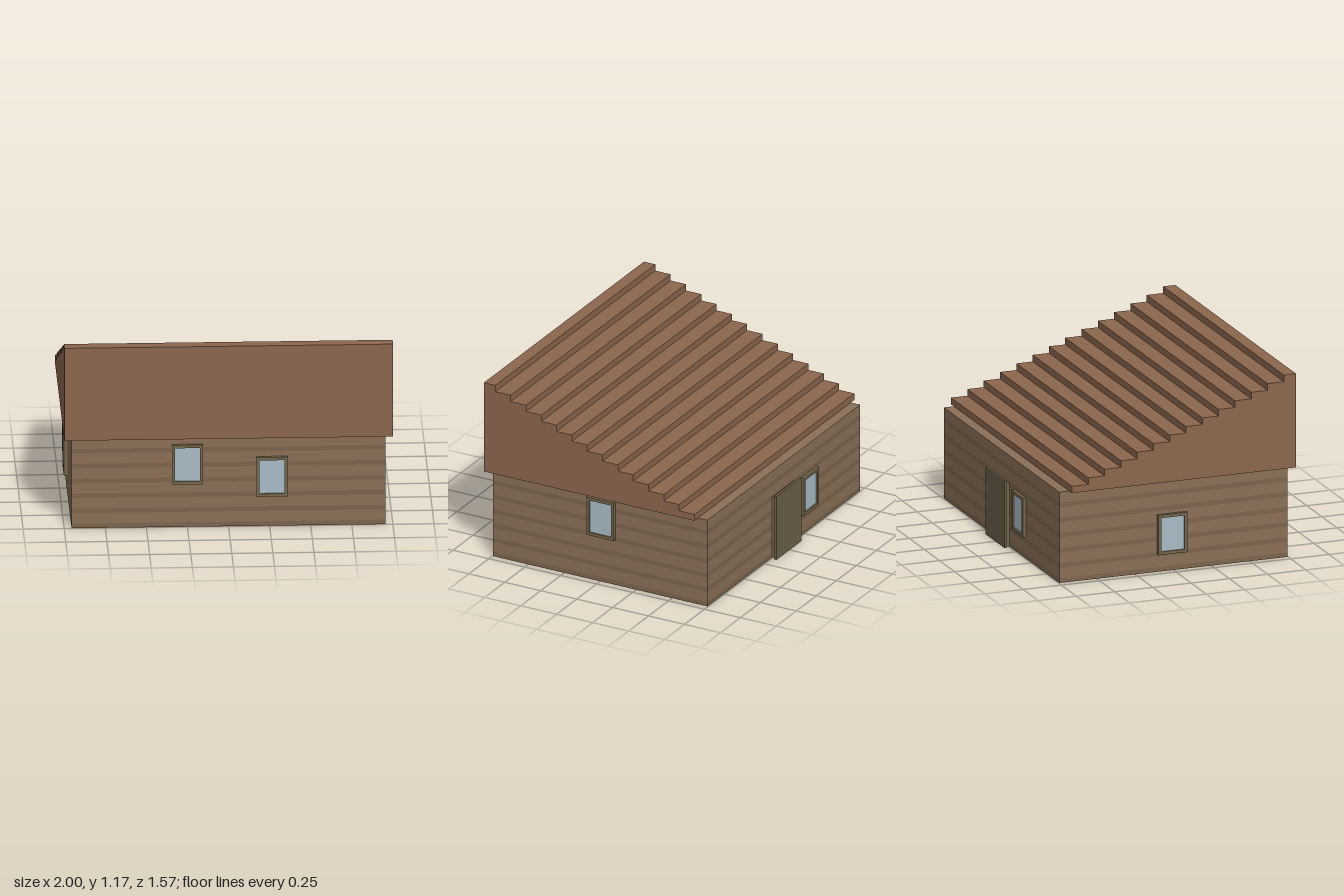
import * as THREE from 'three';

const mat = (color) => new THREE.MeshStandardMaterial({ color, flatShading: true });
const WALL = { x: 0.955, z: 0.745, h: 0.577 };
const ROOF = { x: 1, front: 0.785, back: -0.68, top: 1.172, steps: 14 };

export function createModel() {
  const model = new THREE.Group();
  const plank = mat(0x8a7058), groove = mat(0x7c644d), shingle = mat(0x8a664e);
  const trim = mat(0x75674d), doorMat = mat(0x6b6048), glass = mat(0xa9bcc6);

  const add = (name, geometry, material, parent = model) => {
    const mesh = new THREE.Mesh(geometry, material);
    mesh.name = name;
    parent.add(mesh);
    return mesh;
  };

  // Plank walls: open four-sided rings, a thin dark course then a wide light one
  const walls = new THREE.Group();
  walls.name = 'walls';
  model.add(walls);
  const ring = (name, y0, y1, material) => {
    const g = new THREE.CylinderGeometry(Math.SQRT2, Math.SQRT2, 1, 4, 1, true);
    g.rotateY(Math.PI / 4).scale(WALL.x, y1 - y0, WALL.z).translate(0, (y0 + y1) / 2, 0);
    add(name, g, material, walls);
  };
  const courses = 6, pitch = WALL.h / courses;
  for (let i = 0; i < courses; i++) {
    const y = i * pitch;
    ring('plankGroove', y, y + pitch * 0.3, groove);
    ring('plankCourse', y + pitch * 0.3, y + pitch, plank);
  }

  // Floor and the wall top that shows behind the low eave
  const slab = () => new THREE.PlaneGeometry(2 * WALL.x, 2 * WALL.z);
  add('floor', slab().rotateX(Math.PI / 2), plank);
  add('wallTop', slab().rotateX(-Math.PI / 2).translate(0, WALL.h, 0), plank);

  // Stepped single-slope roof: profile in (z, y), extruded across the width
  const profile = new THREE.Shape();
  const firstTread = 0.08;
  const run = (ROOF.front - firstTread - ROOF.back) / (ROOF.steps - 1);
  const rise = (ROOF.top - WALL.h) / ROOF.steps;
  profile.moveTo(-ROOF.front, WALL.h);
  for (let i = 0; i < ROOF.steps; i++) {
    const y = ROOF.top - i * rise;
    const start = i === 0 ? ROOF.front : ROOF.front - firstTread - (i - 1) * run;
    const end = ROOF.front - firstTread - i * run;
    profile.lineTo(-start, y);
    profile.lineTo(-end, y);
  }
  profile.lineTo(-ROOF.back, WALL.h);
  const roofGeo = new THREE.ExtrudeGeometry(profile, { depth: 2 * ROOF.x, bevelEnabled: false });
  roofGeo.translate(0, 0, -ROOF.x).rotateY(Math.PI / 2);
  add('steppedRoof', roofGeo, shingle);

  // Window: rectangular frame with a recessed pane, facing +z before turning
  const window = (name, x, y, z, turn) => {
    const w = 0.19, h = 0.253, border = 0.019, depth = 0.021;
    const rect = (T, a, b) => new T([[-a, -b], [a, -b], [a, b], [-a, b]].map((p) => new THREE.Vector2(...p)));
    const shape = rect(THREE.Shape, w / 2, h / 2);
    shape.holes.push(rect(THREE.Path, w / 2 - border, h / 2 - border));
    const group = new THREE.Group();
    group.name = name;
    add('windowFrame', new THREE.ExtrudeGeometry(shape, { depth, bevelEnabled: false }), trim, group);
    const pane = new THREE.PlaneGeometry(w - 2 * border, h - 2 * border);
    add('windowPane', pane, glass, group).position.z = depth * 0.5;
    group.position.set(x, y, z);
    group.rotation.y = turn;
    model.add(group);
  };
  window('frontWindowHigh', -0.25, 0.405, WALL.z, 0);
  window('frontWindowLow', 0.265, 0.32, WALL.z, 0);
  window('leftWindow', WALL.x, 0.428, -0.01, Math.PI / 2);
  window('rightWindow', -WALL.x, 0.237, -0.01, -Math.PI / 2);
  window('backWindow', -0.31, 0.26, -WALL.z, Math.PI);

  // Back door: inner casing with a slightly larger leaf over it
  const door = new THREE.Group();
  door.name = 'backDoor';
  model.add(door);
  const casing = new THREE.BoxGeometry(0.275, 0.405, 0.025);
  add('doorCasing', casing, trim, door).position.set(0.008, 0.2025, -WALL.z - 0.0125);
  const leaf = new THREE.BoxGeometry(0.315, 0.425, 0.016);
  add('doorLeaf', leaf, doorMat, door).position.set(0.008, 0.2125, -WALL.z - 0.033);

  return model;
}
